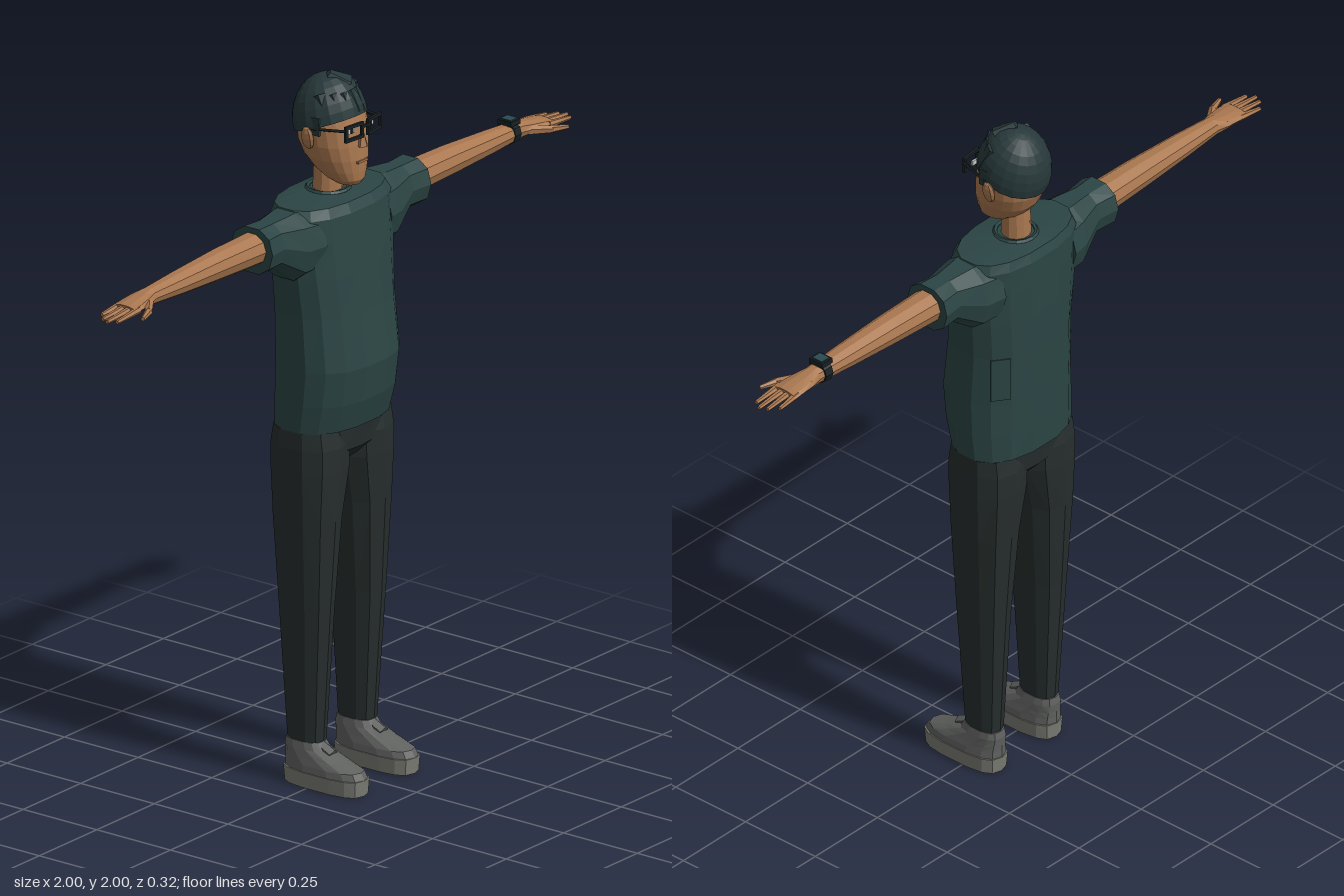
import * as THREE from 'three';

const mat = (name, color) => Object.assign(new THREE.MeshStandardMaterial({ color }), { name });

export function createModel() {
  const root = new THREE.Group();
  root.name = 'person';
  const skin = mat('skin', 0xa9774f), shirt = mat('shirt', 0x2b4544), trouser = mat('trousers', 0x262e2d);
  const hair = mat('hair', 0x27383a), shoe = mat('shoe', 0x5f615f), sole = mat('sole', 0x7b7c74);
  const black = mat('black', 0x182022), white = mat('eye white', 0xc9ccc6);
  const thread = mat('watch glass', 0x2a4a52);

  // flat facets, one normal per face
  const flat = (g) => {
    const f = g.index ? g.toNonIndexed() : g;
    f.computeVertexNormals();
    return f;
  };
  const mirror = (g) => {
    const m = g.clone().scale(-1, 1, 1), p = m.attributes.position;
    const a = new THREE.Vector3(), b = new THREE.Vector3();
    for (let i = 0; i < p.count; i += 3) {
      a.fromBufferAttribute(p, i + 1);
      b.fromBufferAttribute(p, i + 2);
      p.setXYZ(i + 1, b.x, b.y, b.z);
      p.setXYZ(i + 2, a.x, a.y, a.z);
    }
    m.computeVertexNormals();
    return m;
  };
  const add = (name, g, m) => {
    const mesh = new THREE.Mesh(flat(g), m);
    mesh.name = name;
    root.add(mesh);
    return mesh;
  };
  const pair = (name, g, m) => {
    const left = add(name + 'Left', g, m);
    add(name + 'Right', mirror(left.geometry), m);
  };

  // Closed skin over superellipse rings.
  // axis 'y': [y, cx, cz, rx, rz]; axis 'x': [x, cy, cz, ry, rz]
  function loft(axis, rings, n = 12, e = 2) {
    const pos = [], idx = [];
    const pow = (v) => Math.sign(v) * Math.abs(v) ** (2 / e);
    const put = (t, u, z) => (axis === 'y' ? pos.push(u, t, z) : pos.push(t, u, z));
    const tri = (a, b, c) => (axis === 'y' ? idx.push(a, b, c) : idx.push(a, c, b));
    for (const [t, c, cz, r, rz] of rings)
      for (let i = 0; i < n; i++) {
        const a = ((i + 0.5) / n) * Math.PI * 2;
        put(t, c + r * pow(Math.cos(a)), cz + rz * pow(Math.sin(a)));
      }
    for (let k = 0; k < rings.length - 1; k++)
      for (let i = 0; i < n; i++) {
        const a = k * n + i, b = k * n + ((i + 1) % n);
        tri(a, a + n, b);
        tri(b, a + n, b + n);
      }
    const last = (rings.length - 1) * n, c0 = rings.length * n;
    put(...rings[0].slice(0, 3));
    put(...rings[rings.length - 1].slice(0, 3));
    for (let i = 0; i < n; i++) {
      const j = (i + 1) % n;
      tri(c0, i, j);
      tri(c0 + 1, last + j, last + i);
    }
    const g = new THREE.BufferGeometry();
    g.setAttribute('position', new THREE.Float32BufferAttribute(pos, 3));
    g.setIndex(idx);
    return g;
  }
  const box = (w, h, d, x, y, z) => new THREE.BoxGeometry(w, h, d).translate(x, y, z);
  // tapered rod between two points
  function rod(a, b, ra, rb, n = 6) {
    const A = new THREE.Vector3(...a), B = new THREE.Vector3(...b), d = B.clone().sub(A);
    const q = new THREE.Quaternion().setFromUnitVectors(new THREE.Vector3(0, 1, 0), d.clone().normalize());
    return new THREE.CylinderGeometry(rb, ra, d.length(), n).applyQuaternion(q)
      .translate(...A.add(B).multiplyScalar(0.5).toArray());
  }

  // shirt
  add('shirtBody', loft('y', [
    [1.02, 0, -0.035, 0.185, 0.12], [1.1, 0, -0.025, 0.188, 0.132], [1.2, 0, -0.018, 0.187, 0.139],
    [1.35, 0, -0.028, 0.185, 0.13], [1.46, 0, -0.034, 0.195, 0.124], [1.56, 0, -0.039, 0.203, 0.118],
    [1.63, 0, -0.042, 0.203, 0.113], [1.656, 0, -0.045, 0.19, 0.1], [1.664, 0, -0.05, 0.06, 0.055],
  ], 16, 2.4), shirt);
  pair('sleeve', loft('x', [
    [0.14, 1.56, -0.042, 0.094, 0.1], [0.2, 1.558, -0.042, 0.1, 0.088], [0.28, 1.584, -0.04, 0.067, 0.062],
    [0.345, 1.586, -0.04, 0.067, 0.071],
  ], 10, 2.3), shirt);
  add('collar', new THREE.TorusGeometry(0.056, 0.007, 5, 16).rotateX(Math.PI / 2).translate(0, 1.664, -0.05), shirt);
  // small pouch on the back of the left side
  add('backPouch', box(0.055, 0.13, 0.02, 0, 0, 0).rotateY(-0.62).translate(0.136, 1.285, -0.115), shirt);

  // trousers
  add('hips', loft('y', [
    [0.91, 0, -0.035, 0.05, 0.06], [0.95, 0, -0.035, 0.17, 0.098], [1.03, 0, -0.035, 0.178, 0.108],
  ], 14, 2.4), trouser);
  pair('trouserLeg', loft('y', [
    [0.12, 0.11, -0.036, 0.037, 0.056], [0.5, 0.112, -0.035, 0.053, 0.08], [0.76, 0.108, -0.036, 0.072, 0.096],
    [0.9, 0.097, -0.036, 0.09, 0.104], [0.97, 0.095, -0.036, 0.092, 0.104], [1.02, 0.096, -0.036, 0.088, 0.095],
  ], 10, 2.5), trouser);

  // shoes
  pair('shoeSole', loft('y', [[0, 0.11, 0.03, 0.05, 0.128], [0.045, 0.11, 0.03, 0.054, 0.131]], 14, 3), sole);
  pair('shoeUpper', loft('y', [
    [0.045, 0.11, 0.03, 0.052, 0.129], [0.064, 0.11, 0.025, 0.05, 0.123], [0.082, 0.11, -0.002, 0.046, 0.096],
    [0.105, 0.11, -0.032, 0.042, 0.067], [0.125, 0.11, -0.037, 0.038, 0.058],
  ], 14, 2.6), shoe);
  pair('shoeTongue', rod([0.11, 0.09, 0.05], [0.11, 0.115, 0.0], 0.02, 0.02), shoe);

  // arms and hands
  pair('arm', loft('x', [
    [0.3, 1.59, -0.04, 0.047, 0.05], [0.5, 1.592, -0.038, 0.042, 0.044], [0.68, 1.592, -0.036, 0.033, 0.036],
    [0.8, 1.592, -0.035, 0.025, 0.028], [0.835, 1.592, -0.034, 0.019, 0.037], [0.88, 1.59, -0.031, 0.015, 0.042],
    [0.91, 1.588, -0.03, 0.011, 0.041],
  ], 10), skin);
  [0.965, 0.99, 1, 0.985].forEach((tip, i) => {
    const z = -0.061 + i * 0.021;
    pair('finger' + (i + 1), rod([0.89, 1.588, z], [tip, 1.58, z * 1.06], 0.0105, 0.006), skin);
  });
  pair('thumbBase', rod([0.825, 1.588, -0.015], [0.878, 1.584, 0.026], 0.015, 0.011), skin);
  pair('thumbTip', rod([0.875, 1.584, 0.024], [0.925, 1.581, 0.043], 0.011, 0.006), skin);

  // wristwatch on the left arm
  add('watchStrap', loft('x', [[0.755, 1.593, -0.036, 0.033, 0.034], [0.782, 1.593, -0.036, 0.031, 0.033]], 10), black);
  add('watchCase', box(0.042, 0.014, 0.046, 0.768, 1.625, -0.036), black);
  add('watchFace', box(0.03, 0.004, 0.034, 0.768, 1.633, -0.036), thread);

  // neck and head
  add('neck', loft('y', [[1.62, 0, -0.052, 0.043, 0.042], [1.78, 0, -0.05, 0.038, 0.038]], 12), skin);
  add('head', loft('y', [
    [1.695, 0, 0.018, 0.03, 0.035], [1.71, 0, 0.008, 0.048, 0.055], [1.735, 0, -0.008, 0.064, 0.073],
    [1.77, 0, -0.022, 0.08, 0.088], [1.81, 0, -0.032, 0.09, 0.095], [1.86, 0, -0.038, 0.094, 0.094],
    [1.91, 0, -0.044, 0.089, 0.087], [1.95, 0, -0.046, 0.06, 0.058],
  ], 20, 2.15), skin);
  pair('ear', new THREE.SphereGeometry(1, 8, 6).scale(0.011, 0.034, 0.021).rotateZ(-0.2).translate(0.1, 1.835, -0.042), skin);
  add('nose', new THREE.ConeGeometry(0.017, 0.055, 5).translate(0, 1.835, 0.066), skin);
  add('mouth', box(0.042, 0.006, 0.006, 0, 1.764, 0.066), skin);

  // hair: tilted cap with a ragged fringe
  add('hairCap', new THREE.SphereGeometry(1, 18, 8, 0, Math.PI * 2, 0, Math.PI * 0.53)
    .rotateX(-0.3).scale(0.102, 0.125, 0.103).translate(0, 1.868, -0.044), hair);
  hair.side = THREE.DoubleSide;
  for (let i = -3; i <= 3; i++) {
    const x = i * 0.026, z = 0.05 - x * x * 7;
    add('fringeTuft', rod([x * 0.8, 1.95, z - 0.035], [x + 0.006, 1.9 - Math.abs(i) * 0.006, z], 0.022, 0.008, 5), hair);
  }
  pair('sideburn', box(0.008, 0.05, 0.028, 0.094, 1.87, -0.02), hair);
  add('crownTuft', rod([0.02, 1.955, -0.01], [-0.015, 1.993, -0.04], 0.035, 0.014, 6), hair);

  // eyes and glasses
  pair('eyeWhite', box(0.03, 0.014, 0.006, 0.04, 1.86, 0.058), white);
  pair('pupil', box(0.012, 0.014, 0.004, 0.04, 1.86, 0.061), black);
  const rim = new THREE.Shape(), hole = new THREE.Path();
  const rect = (s, w, h) => s.moveTo(-w, -h).lineTo(w, -h).lineTo(w, h).lineTo(-w, h).closePath();
  rect(rim, 0.034, 0.023);
  rect(hole, 0.026, 0.014);
  rim.holes.push(hole);
  pair('glassesRim', new THREE.ExtrudeGeometry(rim, { depth: 0.008, bevelEnabled: false })
    .rotateY(0.12).translate(0.043, 1.86, 0.068), black);
  add('glassesBridge', box(0.024, 0.007, 0.008, 0, 1.868, 0.076), black);
  pair('glassesTemple', rod([0.076, 1.87, 0.068], [0.102, 1.862, -0.04], 0.005, 0.004, 4), black);

  return root;
}
